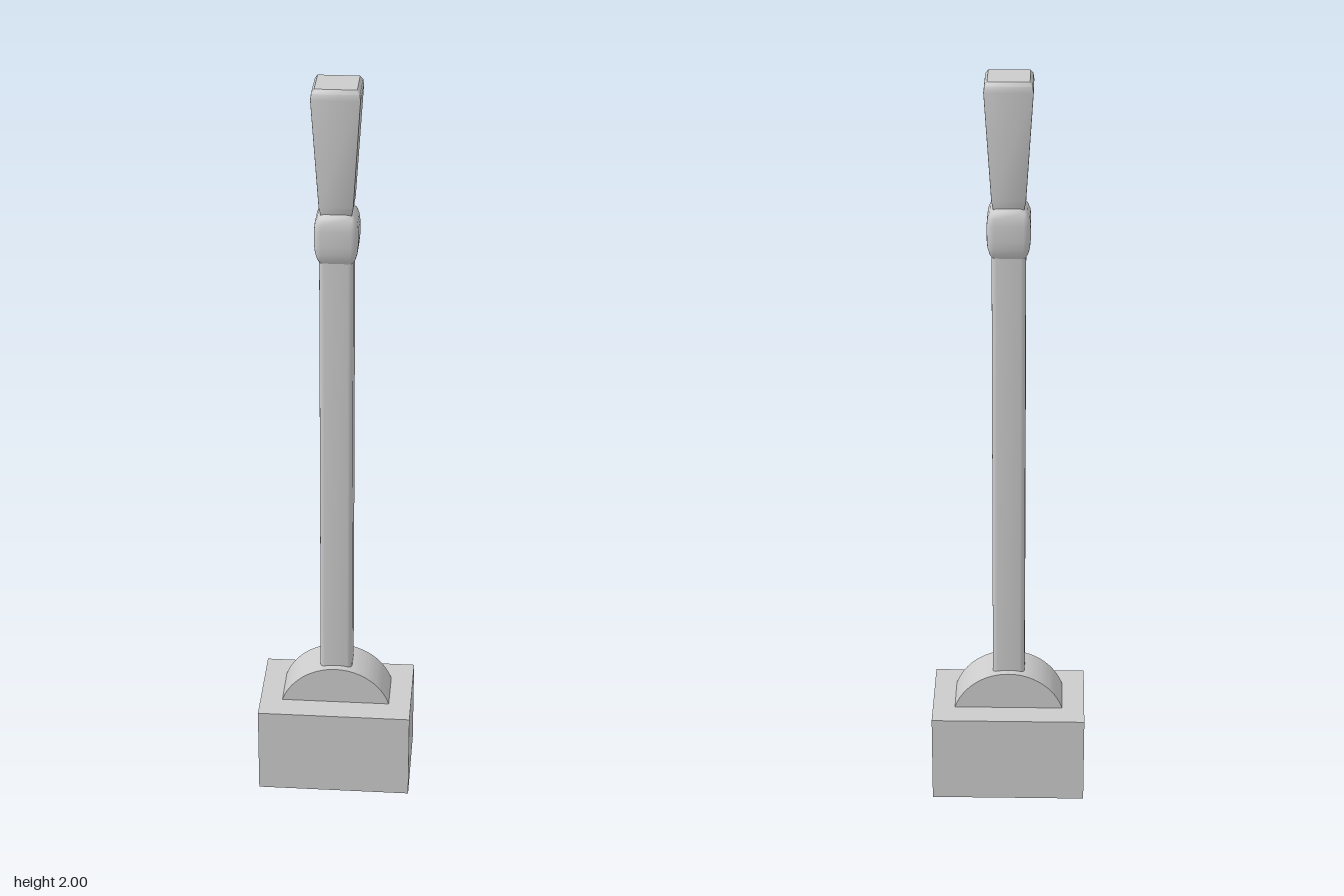
import * as THREE from 'three';
import { toCreasedNormals } from 'three/addons/utils/BufferGeometryUtils.js';

const material = new THREE.MeshStandardMaterial({ color: 0xcccccc });

// Outline of a square with rounded corners, running from +z towards +x
function roundedSquare(half, radius, steps = 4) {
  const points = [];
  for (let corner = 0; corner < 4; corner++) {
    const middle = Math.PI / 4 + corner * Math.PI / 2;
    const cx = Math.sign(Math.sin(middle)) * (half - radius);
    const cz = Math.sign(Math.cos(middle)) * (half - radius);
    for (let i = 0; i <= steps; i++) {
      const a = (corner + i / steps) * Math.PI / 2;
      points.push([cx + Math.sin(a) * radius, cz + Math.cos(a) * radius]);
    }
  }
  return points;
}

// Skin a stack of rounded squares, each given as [y, half width, corner radius]
function loft(sections, crease) {
  const positions = [], index = [];
  const rings = sections.map(([, half, radius]) => roundedSquare(half, radius));
  const n = rings[0].length;
  rings.forEach((ring, r) => ring.forEach(([x, z]) => positions.push(x, sections[r][0], z)));
  for (let r = 0; r < rings.length - 1; r++) {
    for (let i = 0; i < n; i++) {
      const a = r * n + i, b = r * n + (i + 1) % n;
      index.push(a, b, b + n, a, b + n, a + n);
    }
  }
  // End caps
  const last = (rings.length - 1) * n;
  const bottom = positions.length / 3, top = bottom + 1;
  positions.push(0, sections[0][0], 0, 0, sections.at(-1)[0], 0);
  for (let i = 0; i < n; i++) {
    const j = (i + 1) % n;
    index.push(bottom, j, i, top, last + i, last + j);
  }
  const geometry = new THREE.BufferGeometry();
  geometry.setAttribute('position', new THREE.Float32BufferAttribute(positions, 3));
  geometry.setIndex(index);
  return toCreasedNormals(geometry, crease);
}

export function createModel() {
  const model = new THREE.Group();
  model.name = 'lever';
  const add = (name, geometry) => {
    const mesh = new THREE.Mesh(geometry, material);
    mesh.name = name;
    model.add(mesh);
    return mesh;
  };

  // Base block
  add('base', new THREE.BoxGeometry(0.412, 0.245, 0.27)).position.y = 0.1225;

  // Pivot: segment of a disc rising from the base
  const radius = 0.154, centreY = 0.196;
  const start = Math.asin((0.243 - centreY) / radius);
  const arc = new THREE.Shape().absarc(0, centreY, radius, start, Math.PI - start, false);
  const pivot = new THREE.ExtrudeGeometry(arc, { depth: 0.127, bevelEnabled: false, curveSegments: 32 });
  pivot.translate(0, 0, -0.0635);
  add('pivot', toCreasedNormals(pivot, 0.6));

  // Shaft with softened corners
  add('shaft', loft([[0.3, 0.043, 0.013], [1.56, 0.043, 0.013]], 0.7));

  // Collar bulging around the top of the shaft
  add('collar', loft([
    [1.54, 0.042, 0.013], [1.55, 0.048, 0.015], [1.568, 0.053, 0.017],
    [1.59, 0.055, 0.018], [1.63, 0.055, 0.018], [1.648, 0.053, 0.017],
    [1.663, 0.047, 0.014], [1.672, 0.039, 0.01],
  ], 0.7));

  // Handle flaring upwards to a bevelled top
  add('handle', loft([
    [1.66, 0.037, 0.002], [1.675, 0.04, 0.002], [1.69, 0.043, 0.002],
    [1.975, 0.061, 0.002], [1.99, 0.059, 0.002], [2, 0.052, 0.002],
  ], 0.6));

  return model;
}
